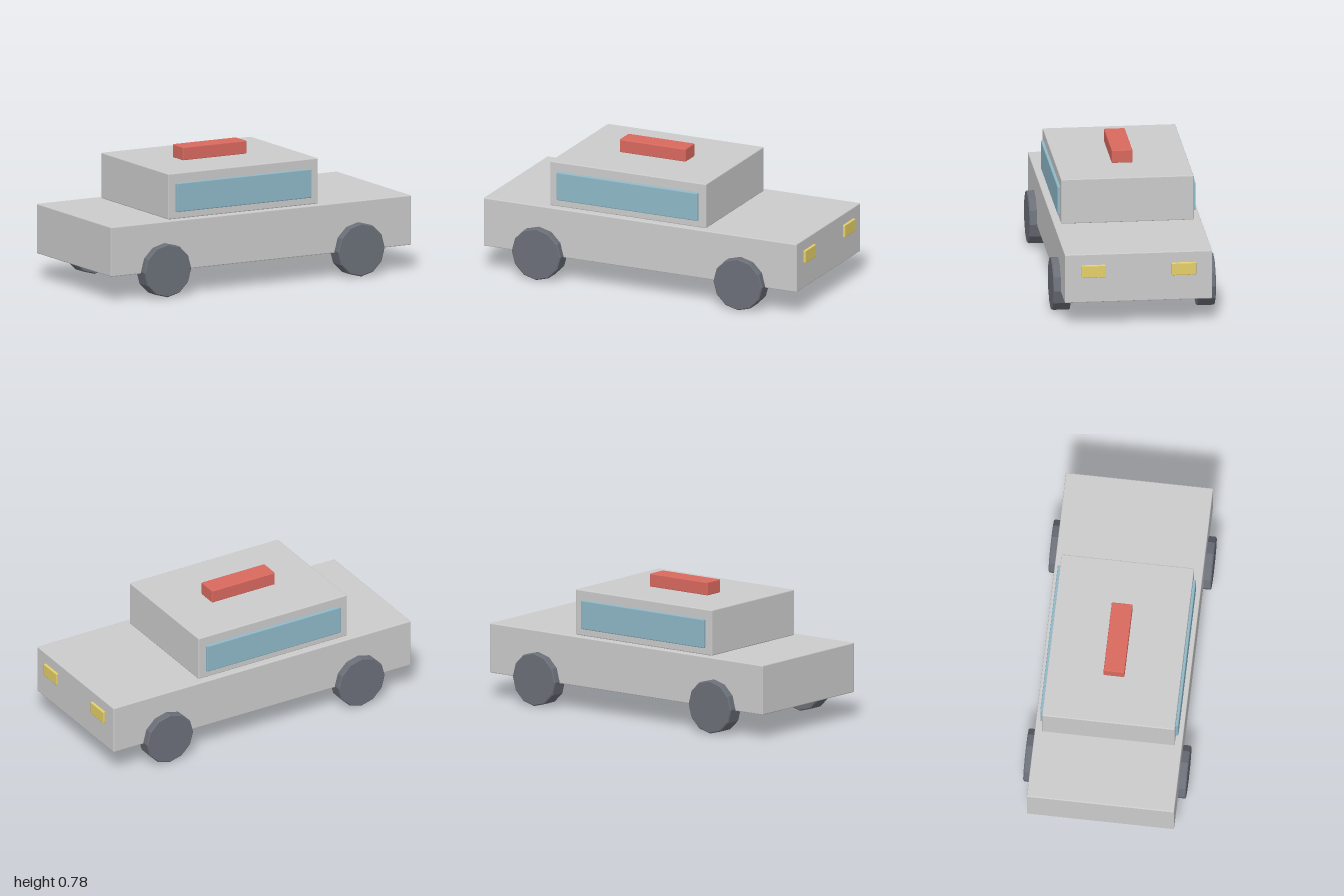
import * as THREE from 'three';
import { RoundedBoxGeometry } from 'three/addons/geometries/RoundedBoxGeometry.js';

const paint = (color) => new THREE.MeshStandardMaterial({ color, flatShading: true });

// Box with small chamfered edges, given by its extents on each axis
function chamferBox(name, [x0, x1], [y0, y1], [z0, z1], material, bevel = 0.005) {
  const geometry = new RoundedBoxGeometry(x1 - x0, y1 - y0, z1 - z0, 1, bevel);
  const mesh = new THREE.Mesh(geometry, material);
  mesh.name = name;
  mesh.position.set((x0 + x1) / 2, (y0 + y1) / 2, (z0 + z1) / 2);
  return mesh;
}

// Twelve-sided wheel with chamfered rims, axle along z
function wheelGeometry(radius, width, bevel) {
  const h = width / 2;
  const profile = [
    [0, -h], [radius - bevel, -h], [radius, -h + bevel],
    [radius, h - bevel], [radius - bevel, h], [0, h],
  ].map(([r, y]) => new THREE.Vector2(r, y));
  return new THREE.LatheGeometry(profile, 12).rotateX(Math.PI / 2);
}

export function createModel() {
  const car = new THREE.Group();
  car.name = 'car';

  const grey = paint(0xcccccc);
  const glass = paint(0x8fb8c8);
  const red = paint(0xd9695f);
  const yellow = paint(0xe6d06a);
  const rubber = paint(0x6b6f78);

  // Body, cabin and roof light
  car.add(chamferBox('body', [-1, 0.986], [0.145, 0.434], [-0.424, 0.424], grey));
  car.add(chamferBox('cabin', [-0.597, 0.393], [0.434, 0.7], [-0.382, 0.382], grey));
  car.add(chamferBox('roofLight', [-0.312, 0.108], [0.698, 0.776], [-0.06, 0.06], red));

  const wheel = wheelGeometry(0.155, 0.102, 0.006);
  for (const side of [1, -1]) {
    const label = side > 0 ? 'Left' : 'Right';
    const span = (a, b) => (side > 0 ? [a, b] : [-b, -a]);

    // Side window and headlight
    car.add(chamferBox('window' + label, [-0.55, 0.345], [0.475, 0.643], span(0.37, 0.398), glass));
    car.add(chamferBox('headlight' + label, [0.97, 1], [0.295, 0.369], span(0.19, 0.331), yellow, 0.004));

    // Wheels
    for (const [end, x] of [['rear', -0.647], ['front', 0.633]]) {
      const mesh = new THREE.Mesh(wheel, rubber);
      mesh.name = end + 'Wheel' + label;
      mesh.position.set(x, 0.155, side * 0.417);
      car.add(mesh);
    }
  }
  return car;
}
